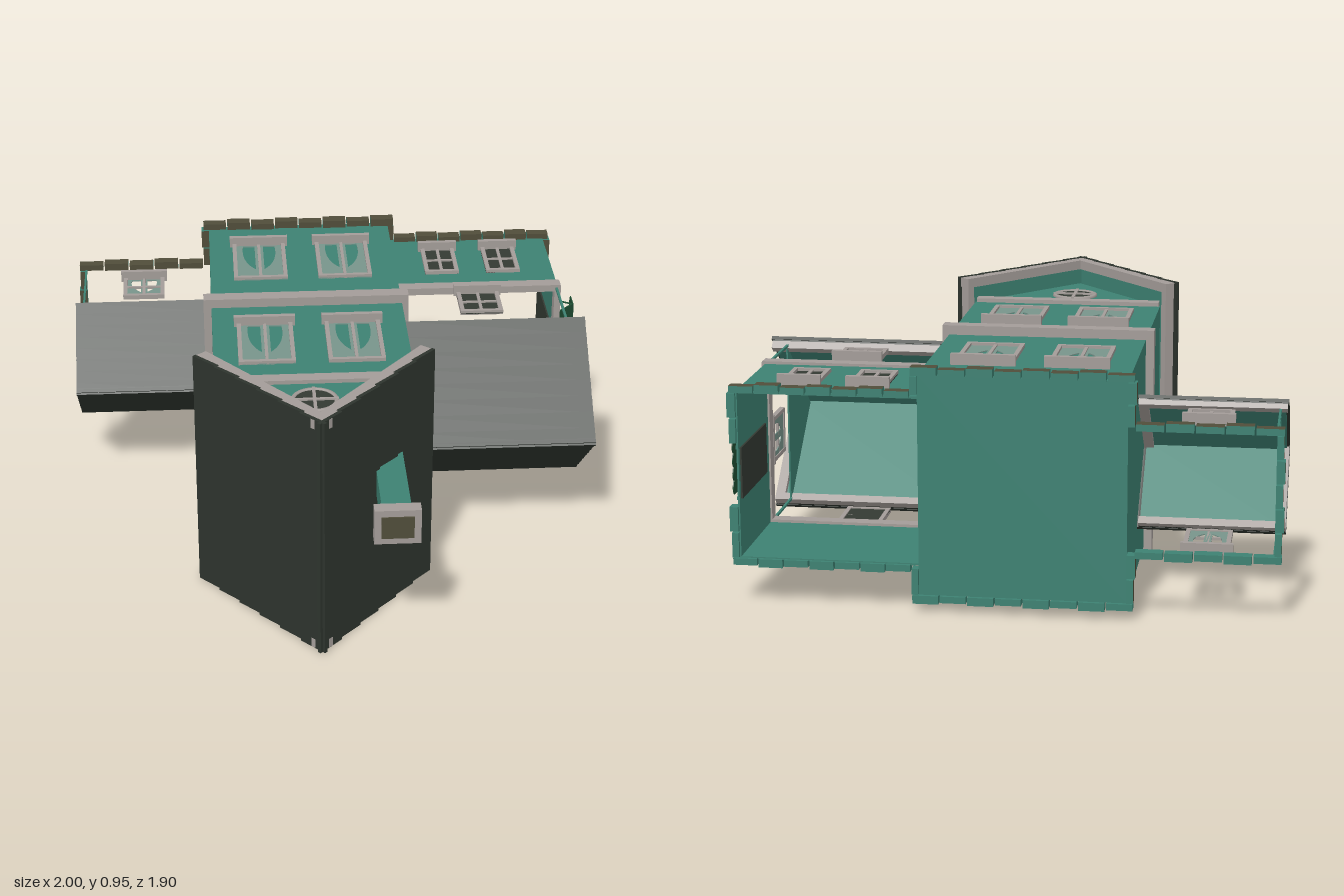
import * as THREE from 'three';

const mat = (name, color, side = THREE.FrontSide) => {
  const m = new THREE.MeshStandardMaterial({ color, side });
  m.name = name;
  return m;
};

export function createModel() {
  const teal = mat('teal wall', 0x3d8172, THREE.DoubleSide);
  const trim = mat('grey trim', 0xa39c98);
  const shingle = mat('dark roof', 0x2d342d);
  const stone = mat('olive stone', 0x504d3a);
  const glass = mat('dark glass', 0x343a33, THREE.DoubleSide);
  const drape = mat('pale curtain', 0x78948b, THREE.DoubleSide);
  const green = mat('awning green', 0x1f4f33, THREE.DoubleSide);
  const house = new THREE.Group();
  house.name = 'house lying on its back';

  const group = (name, parent = house) => {
    const g = new THREE.Group();
    g.name = name;
    parent.add(g);
    return g;
  };
  const add = (parent, name, geo, m, x = 0, y = 0, z = 0) => {
    const mesh = new THREE.Mesh(geo, m);
    mesh.name = name;
    mesh.position.set(x, y, z);
    parent.add(mesh);
    return mesh;
  };
  // box given by its limits on each axis
  const box = (parent, name, m, x0, x1, y0, y1, z0, z1) =>
    add(parent, name, new THREE.BoxGeometry(x1 - x0, y1 - y0, z1 - z0), m, (x0 + x1) / 2, (y0 + y1) / 2, (z0 + z1) / 2);
  // prism with an x-z outline, running from y1 down to y0
  const prism = (parent, name, m, pts, y0, y1) => {
    const shape = new THREE.Shape(pts.map(p => new THREE.Vector2(...p)));
    const geo = new THREE.ExtrudeGeometry(shape, { depth: y1 - y0, bevelEnabled: false }).rotateX(Math.PI / 2);
    return add(parent, name, geo, m, 0, y1, 0);
  };
  // group whose local up is the house's up (+z) and whose local z points out of a wall
  const onWall = (name, out, x, y, z) => {
    const g = group(name), o = new THREE.Vector3(...out), up = new THREE.Vector3(0, 0, 1);
    g.setRotationFromMatrix(new THREE.Matrix4().makeBasis(up.clone().cross(o), up, o));
    g.position.set(x, y, z);
    return g;
  };
  const flat = (shape, depth = 0.004) => new THREE.ExtrudeGeometry(shape, { depth, bevelEnabled: false, curveSegments: 10 });
  const rect = (w, h) => new THREE.Shape([[-w / 2, 0], [w / 2, 0], [w / 2, h], [-w / 2, h]].map(p => new THREE.Vector2(...p)));

  // framed window with sill, bars and glass or curtains
  const windowAt = (out, x, y, z, w, h, curtains, crossBar = true) => {
    const g = onWall('window', out, x, y, z), t = 0.016;
    for (const s of [-1, 1]) box(g, 'frameSide', trim, s * (w - t) / 2 - t / 2, s * (w - t) / 2 + t / 2, 0, h, -0.004, 0.014);
    box(g, 'frameTop', trim, -w / 2, w / 2, h - t, h, -0.004, 0.014);
    box(g, 'sill', trim, -w / 2 - 0.01, w / 2 + 0.01, -0.005, 0.015, -0.004, 0.04);
    box(g, 'mullion', trim, -0.006, 0.006, 0, h, 0, 0.01);
    if (crossBar) box(g, 'crossBar', trim, -w / 2, w / 2, h / 2 - 0.005, h / 2 + 0.005, 0, 0.01);
    if (!curtains) return add(g, 'glass', flat(rect(w, h)), glass);
    // drapes part towards the sill
    const c = rect(w, h);
    for (const s of [-1, 1]) {
      const hole = new THREE.Path();
      hole.moveTo(s * w * 0.08, 0.02);
      hole.lineTo(s * w * 0.3, 0.02);
      hole.quadraticCurveTo(s * w * 0.36, h * 0.5, s * w * 0.08, h * 0.72);
      hole.closePath();
      c.holes.push(hole);
    }
    add(g, 'curtains', flat(c), drape);
  };
  const roundWindow = (out, x, y, z, r) => {
    const g = onWall('roundWindow', out, x, y, z);
    add(g, 'ring', new THREE.TorusGeometry(r - 0.008, 0.01, 6, 28), trim);
    add(g, 'glass', new THREE.CircleGeometry(r - 0.008, 28), glass, 0, 0, 0.004);
    box(g, 'barUpright', trim, -0.006, 0.006, -r, r, 0, 0.01);
    box(g, 'barLevel', trim, -r, r, -0.006, 0.006, 0, 0.01);
  };

  // gable roof with its ridge along local y: planks, lining, eave boards, bargeboards
  const roof = (name, half, eave, ridge, len, n, t, ends) => {
    const g = group(name), L = Math.hypot(half, ridge - eave), a = Math.atan2(ridge - eave, half);
    for (const s of [0, 1]) {
      const turn = group('roofSide', g), side = group('slope', turn);
      turn.rotation.z = s * Math.PI;
      side.position.z = ridge;
      side.rotation.y = a;
      const w = L / n;
      for (let i = 0; i < n; i++) {
        const p = add(side, 'plank', new THREE.BoxGeometry(w * 1.04, len, 0.014), shingle, (i + 0.5) * w, 0, -0.01);
        p.rotation.y = -0.08;
      }
      box(side, 'roofBoard', shingle, 0, L, -len / 2 + 0.004, len / 2 - 0.004, -0.022, -0.01);
      box(side, 'lining', teal, 0.02, L - 0.01, -len / 2 + 0.01, len / 2 - 0.01, -0.028, -0.022);
      box(side, 'eaveBoard', trim, L - 0.03, L, -len / 2 + 0.005, len / 2 - 0.005, -t, -0.02);
      for (const e of ends) {
        const y = e * (len / 2 - 0.02);
        box(side, 'bargeboard', trim, 0.012, L, y - 0.018, y + 0.018, -t, -0.016);
      }
    }
    return g;
  };

  // main tower with both gable walls
  prism(house, 'mainWalls', teal, [[-0.465, -0.94], [0.265, -0.94], [0.265, 0.37], [-0.1, 0.81], [-0.465, 0.37]], 0.07, 0.86);
  roof('mainRoof', 0.435, 0.36, 0.885, 0.95, 6, 0.06, [-1, 1]).position.set(-0.102, 0.485, 0);
  box(house, 'storeyBand', trim, -0.495, 0.29, 0.04, 0.895, -0.265, -0.21);
  for (const s of [-1, 1]) {
    const y = s > 0 ? 0.86 : 0.07, out = [0, s, 0];
    box(house, 'gableBand', trim, -0.46, 0.26, y - 0.015, y + 0.015, 0.36, 0.41);
    roundWindow(out, -0.11, y + s * 0.002, 0.54, 0.087);
    for (const x of [-0.268, 0.062]) {
      windowAt(out, x, y, -0.065, 0.21, 0.32, true, false);
      if (s > 0) windowAt(out, x, y, -0.76, 0.21, 0.32, true, false);
    }
  }

  // entrance door on the underside wall
  const door = onWall('frontDoor', [0, -1, 0], -0.1, 0.07, -0.9);
  box(door, 'doorLeaf', glass, -0.12, 0.12, 0, 0.5, -0.004, 0.005);
  for (const s of [-1, 1]) box(door, 'doorJamb', trim, s * 0.125 - 0.012, s * 0.125 + 0.012, 0, 0.5, 0, 0.014);
  box(door, 'doorLintel', trim, -0.15, 0.15, 0.49, 0.545, 0, 0.025);
  add(door, 'doorKnob', new THREE.SphereGeometry(0.014, 12, 8), trim, 0.08, 0.24, 0.02);

  // chimney
  box(house, 'chimney', teal, 0.105, 0.21, 0.525, 0.62, 0.45, 0.9);
  box(house, 'chimneyCap', trim, 0.075, 0.24, 0.505, 0.64, 0.89, 0.94);
  box(house, 'chimneyMouth', stone, 0.1, 0.215, 0.53, 0.615, 0.936, 0.946);

  // right wing: closed ground floor, open upper floor with corner posts
  const wing = group('rightWing');
  for (const y of [0.18, 0.78]) {
    box(wing, 'sideWall', teal, 0.265, 0.905, y - 0.004, y + 0.004, -0.94, -0.48);
    box(wing, 'cornerPost', teal, 0.896, 0.905, y - 0.004, y + 0.004, -0.48, -0.17);
    box(wing, 'bandSide', trim, 0.265, 0.915, y - 0.014, y + 0.014, -0.51, -0.46);
  }
  box(wing, 'endWall', teal, 0.9, 0.907, 0.18, 0.78, -0.94, -0.48);
  box(wing, 'bandEnd', trim, 0.893, 0.918, 0.17, 0.79, -0.51, -0.46);
  const wingRoof = roof('wingRoof', 0.335, -0.15, 0.245, 0.7, 8, 0.05, [1]);
  wingRoof.rotation.z = -Math.PI / 2;
  wingRoof.position.set(0.615, 0.475, 0);
  prism(wingRoof, 'wingGable', teal, [[-0.305, -0.18], [0.305, -0.18], [0, 0.18]], 0.284, 0.29);
  roundWindow([1, 0, 0], 0.908, 0.48, -0.03, 0.062);
  windowAt([1, 0, 0], 0.903, 0.475, -0.425, 0.17, 0.175, true);
  for (const s of [-1, 1]) {
    const y = s > 0 ? 0.784 : 0.176, out = [0, s, 0];
    for (const x of [0.46, 0.705]) windowAt(out, x, y, -0.83, 0.135, 0.225, false);
    windowAt(out, 0.58, y, -0.43, 0.165, 0.18, false);
  }

  // side door and scalloped awning
  box(wing, 'sideDoorInside', glass, 0.894, 0.9, 0.39, 0.575, -0.92, -0.56);
  for (const y of [0.39, 0.575]) box(wing, 'sideDoorJamb', teal, 0.905, 0.915, y - 0.006, y + 0.006, -0.92, -0.55);
  const awning = onWall('awning', [1, 0, 0], 0.91, 0.485, -0.52);
  const cloth = add(awning, 'awningCloth', new THREE.BoxGeometry(0.31, 0.117, 0.005), green, 0, -0.04, 0.042);
  cloth.rotation.x = -0.816;
  const skirt = new THREE.Shape();
  skirt.moveTo(-0.155, -0.08);
  for (let i = 0; i < 6; i++) {
    const x = -0.155 + i * 0.31 / 6;
    skirt.lineTo(x, -0.145);
    skirt.quadraticCurveTo(x + 0.026, -0.172, x + 0.31 / 6, -0.145);
  }
  skirt.lineTo(0.155, -0.08);
  add(awning, 'awningSkirt', flat(skirt), green, 0, 0, 0.081);
  for (const s of [-1, 1]) {
    const brace = add(awning, 'awningBrace', new THREE.BoxGeometry(0.005, 0.1, 0.005), green, s * 0.15, -0.107, 0.042);
    brace.rotation.x = 1.04;
  }

  // left wing: open walls under a small gable roof
  const shed = group('leftWing');
  for (const y of [0.26, 0.69]) box(shed, 'cornerPost', teal, -0.975, -0.967, y - 0.004, y + 0.004, -0.92, -0.56);
  const shedRoof = roof('shedRoof', 0.25, -0.555, -0.26, 0.535, 8, 0.04, [-1]);
  shedRoof.rotation.z = -Math.PI / 2;
  shedRoof.position.set(-0.733, 0.475, 0);
  prism(shedRoof, 'shedGable', teal, [[-0.22, -0.57], [0.22, -0.57], [0, -0.31]], -0.24, -0.234);
  for (const s of [-1, 1]) windowAt([0, s, 0], -0.733, s > 0 ? 0.69 : 0.26, -0.825, 0.165, 0.175, true);

  // foundation stones: outer and upper faces bare, the rest painted
  const stones = group('foundationStones');
  const row = (axis, from, to, at, s) => {
    const n = Math.max(1, Math.round((to - from) / 0.095)), step = (to - from) / n;
    for (let i = 0; i < n; i++) {
      const mats = Array(6).fill(teal), a = from + i * step + 0.003, b = a + step - 0.006;
      const d = 0.024 + 0.006 * (i % 2), lo = Math.min(at, at + s * d), hi = Math.max(at, at + s * d);
      mats[4] = stone;
      mats[(axis === 'x' ? 2 : 0) + (s > 0 ? 0 : 1)] = stone;
      const z1 = -0.91 + 0.004 * (i % 3 - 1);
      if (axis === 'x') box(stones, 'stone', mats, a, b, lo, hi, -0.953, z1);
      else box(stones, 'stone', mats, lo, hi, a, b, -0.953, z1);
    }
  };
  for (const s of [-1, 1]) {
    row('x', -0.49, 0.29, s > 0 ? 0.86 : 0.07, s);
    row('x', 0.29, 0.93, s > 0 ? 0.78 : 0.18, s);
    row('x', -1, -0.49, s > 0 ? 0.69 : 0.26, s);
  }
  row('y', 0.18, 0.37, 0.905, 1);
  row('y', 0.595, 0.78, 0.905, 1);
  row('y', 0.26, 0.69, -0.972, -1);
  for (const [x, s, y0, y1] of [[0.265, 1, 0.07, 0.17], [0.265, 1, 0.79, 0.86], [-0.465, -1, 0.07, 0.25], [-0.465, -1, 0.7, 0.86]]) row('y', y0, y1, x, s);

  return house;
}
